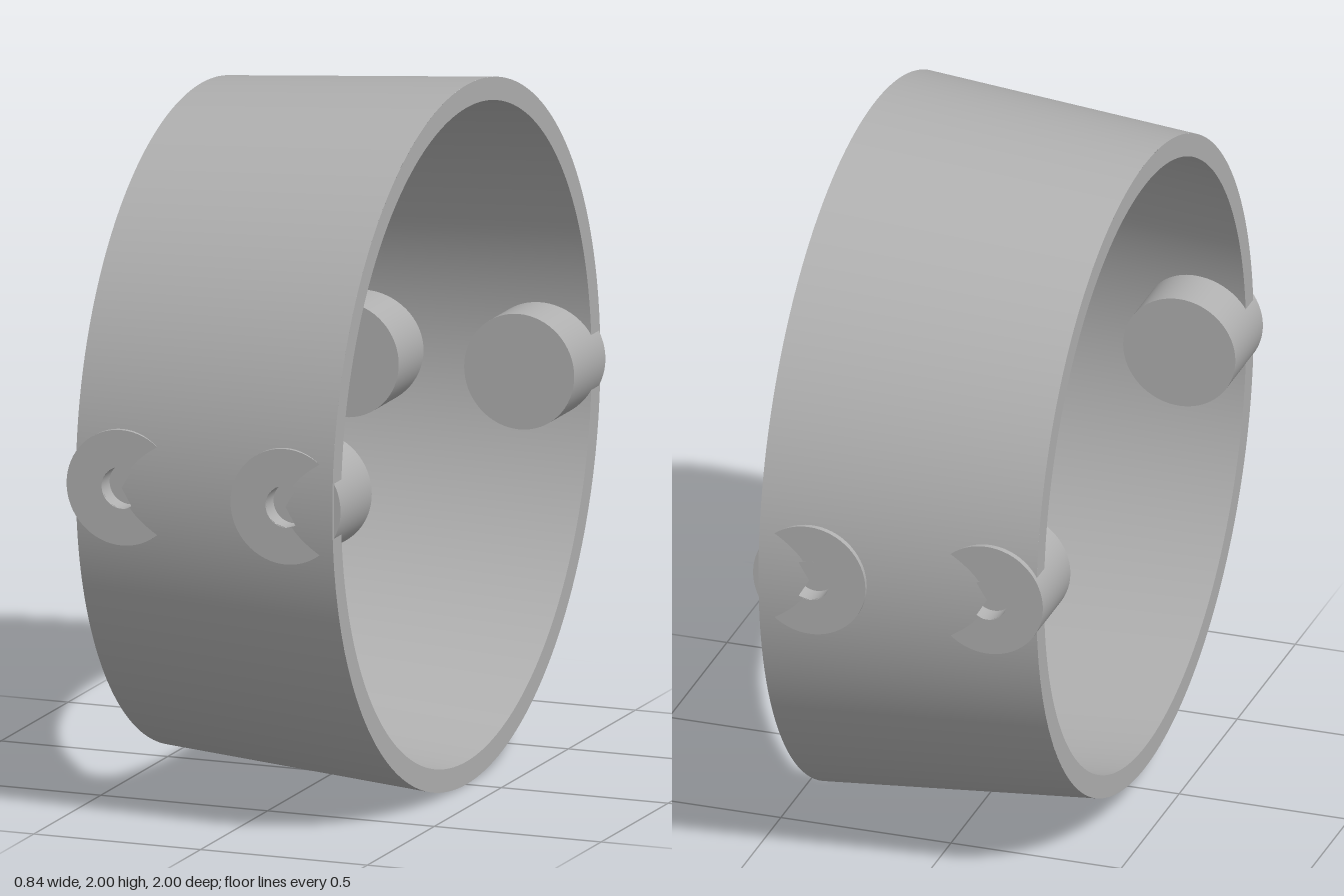
import * as THREE from 'three';
import { mergeGeometries } from 'three/addons/utils/BufferGeometryUtils.js';

const grey = new THREE.MeshStandardMaterial({ color: 0xb0b0b0 });
grey.name = 'grey';

// Tapered ring around the x axis
const X0 = -0.4, X1 = 0.395, R0 = 0.935, R1 = 1, WALL = 0.065;
const slope = (R1 - R0) / (X1 - X0);
const radiusAt = (x) => R0 + (x - X0) * slope;

// Bosses: centre x, inner end and outer end distance from the ring axis
const BOSS_R = 0.165, HOLE_R = 0.06, HOLE_DEPTH = 0.06;
const bosses = [
  { name: 'narrowEndBoss', x: -0.258, inner: 0.71, outer: 0.947 },
  { name: 'wideEndBoss', x: 0.25, inner: 0.755, outer: 0.988 },
];

// Turned solid with a crisp edge at every profile point
function turned(points, segments) {
  const parts = [];
  for (let i = 0; i < points.length - 1; i++) {
    const pair = [points[i], points[i + 1]].map(([r, y]) => new THREE.Vector2(r, y));
    parts.push(new THREE.LatheGeometry(pair, segments));
  }
  return mergeGeometries(parts);
}

// Outer cone, left open where the crescent screw holes enter it
function outerSurface() {
  const rows = 720, pos = [], nor = [], index = [];
  const breaks = (t) => {
    const xs = [X0];
    for (const b of bosses) {
      const y = Math.abs(radiusAt(b.x) * Math.sin(t));
      const half = Math.sqrt(Math.max(0, HOLE_R ** 2 - y ** 2));
      xs.push(b.x - half, half > 0 ? b.x + Math.min(half, y * 0.6) : b.x);
    }
    return [...xs, X1];
  };
  for (let j = 0; j <= rows; j++) {
    const t = (j / rows) * Math.PI * 2;
    const n = new THREE.Vector3(-slope, Math.sin(t), Math.cos(t)).normalize();
    for (const x of breaks(t)) {
      const r = radiusAt(x);
      pos.push(x, r * Math.sin(t), r * Math.cos(t));
      nor.push(n.x, n.y, n.z);
    }
  }
  for (let j = 0; j < rows; j++) {
    for (const i of [0, 2, 4]) {
      const a = j * 6 + i, b = a + 6;
      index.push(a, a + 1, b + 1, a, b + 1, b);
    }
  }
  const g = new THREE.BufferGeometry();
  g.setAttribute('position', new THREE.Float32BufferAttribute(pos, 3));
  g.setAttribute('normal', new THREE.Float32BufferAttribute(nor, 3));
  g.setIndex(index);
  return g;
}

export function createModel() {
  const model = new THREE.Group();
  model.name = 'taperedRing';
  const body = new THREE.Group();
  body.position.y = 1;
  model.add(body);

  const add = (name, geometry) => {
    const mesh = new THREE.Mesh(geometry, grey);
    mesh.name = name;
    body.add(mesh);
    return mesh;
  };

  // Ring: outside, then rims and bore
  add('ringOutside', outerSurface());
  add('ringRimsAndBore', turned([
    [R1, X1], [R1 - WALL, X1], [R0 - WALL, X0], [R0, X0],
  ], 180).rotateZ(-Math.PI / 2));

  // Two bosses on the front and two on the back, each with a blind hole outside
  for (const side of [1, -1]) {
    for (const b of bosses) {
      const floor = b.outer - HOLE_DEPTH;
      const g = turned([
        [0, b.inner], [BOSS_R, b.inner], [BOSS_R, b.outer],
        [HOLE_R, b.outer], [HOLE_R, floor], [0, floor],
      ], 64).rotateX(side * Math.PI / 2);
      add((side > 0 ? 'front_' : 'back_') + b.name, g).position.x = b.x;
    }
  }
  return model;
}
